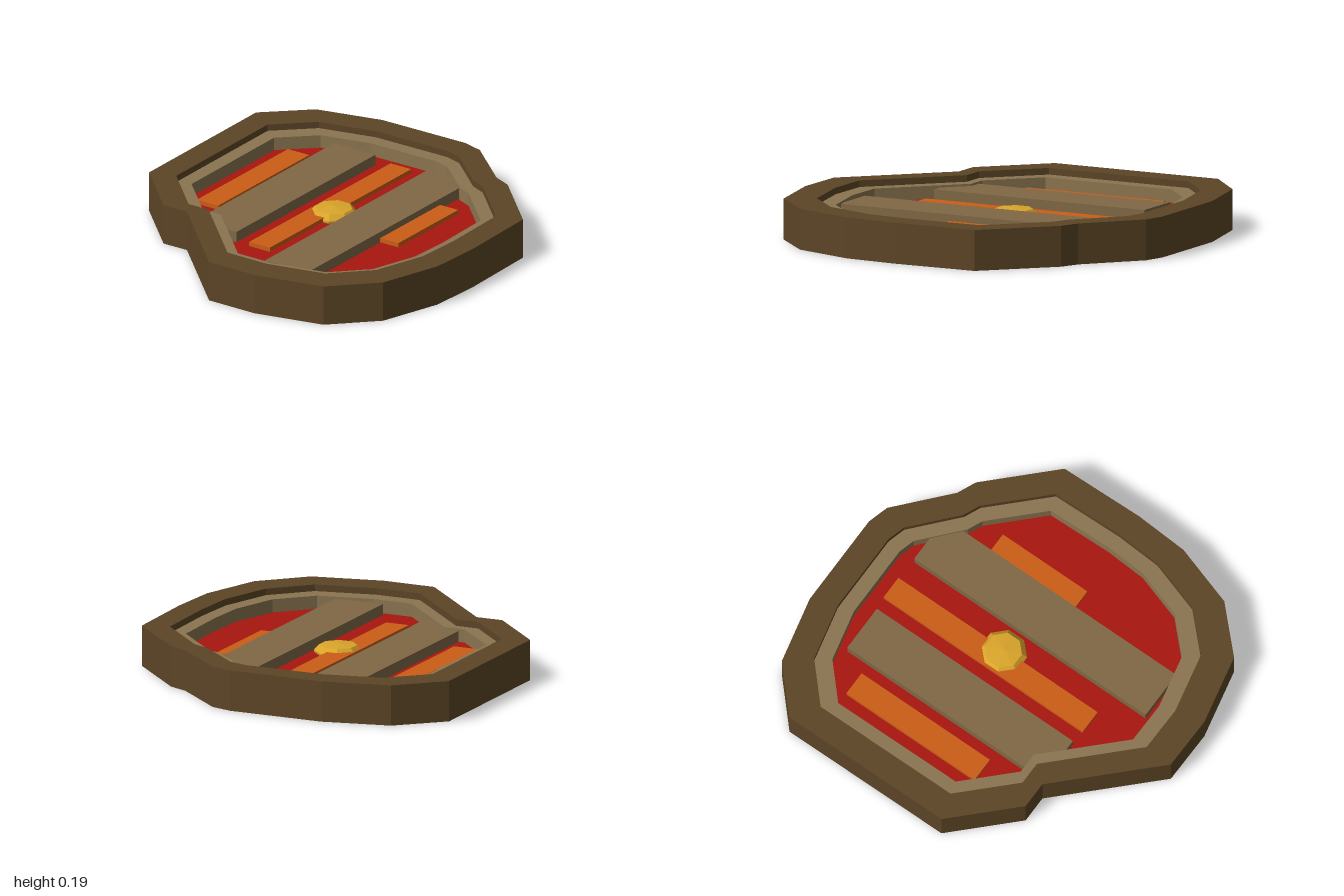
import * as THREE from 'three';

// Outline of the tray as [x, z]; the inner rings are scaled copies of it
const OUTLINE = [
  [-0.19, -1], [0.08, -0.99], [0.35, -0.82], [0.67, -0.5], [0.72, -0.41], [0.74, -0.09],
  [0.775, 0], [0.775, 0.4], [0.5, 0.69], [0.31, 0.86], [0.04, 1], [-0.23, 1],
  [-0.51, 0.82], [-0.685, 0.64], [-0.685, 0.06], [-0.775, -0.03], [-0.775, -0.41],
];
const MID = 0.855, INNER = 0.773;
const FLOOR_Y = 0.095;

const points = (s) => OUTLINE.map(([x, z]) => new THREE.Vector2(x * s, z * s));
const material = (color) => new THREE.MeshStandardMaterial({ color, flatShading: true });

function addMesh(parent, name, geometry, mat) {
  const mesh = new THREE.Mesh(geometry, mat);
  mesh.name = name;
  parent.add(mesh);
  return mesh;
}

// Slab standing on y = 0, optionally hollowed by a smaller copy of the outline
function slab(outer, inner, height) {
  const shape = new THREE.Shape(points(outer));
  if (inner) shape.holes.push(new THREE.Path(points(inner)));
  return new THREE.ExtrudeGeometry(shape, { depth: height, bevelEnabled: false })
    .rotateX(Math.PI / 2)
    .translate(0, height, 0);
}

// Diagonal bar: u = x - z runs along it, v = x + z runs across it
function diagonalBar(u0, u1, v0, v1, top) {
  const u = (u0 + u1) / 2, v = (v0 + v1) / 2, bottom = FLOOR_Y - 0.01;
  return new THREE.BoxGeometry((u1 - u0) / Math.SQRT2, top - bottom, (v1 - v0) / Math.SQRT2)
    .rotateY(Math.PI / 4)
    .translate((u + v) / 2, (top + bottom) / 2, (v - u) / 2);
}

export function createModel() {
  const model = new THREE.Group();
  model.name = 'tray';

  // Stepped rim and floor
  addMesh(model, 'outerRim', slab(1, MID, 0.185), material(0x5c4526));
  addMesh(model, 'innerRim', slab(MID, INNER, 0.155), material(0x8b7550));
  addMesh(model, 'floor', slab(INNER, null, FLOOR_Y), material(0xa8170f));

  // Two wide planks with their ends tucked under the rim
  const plankMat = material(0x806845);
  [[-0.72, 0.8, -0.58, -0.26], [-0.99, 0.805, 0.15, 0.48]].forEach((b, i) =>
    addMesh(model, `plank${i + 1}`, diagonalBar(...b, 0.145), plankMat));

  // Three thin strips between the planks
  const stripMat = material(0xcb5d17);
  [[-0.36, 0.635, -0.82, -0.655], [-0.725, 0.82, -0.16, 0], [-0.2, 0.455, 0.465, 0.62]].forEach((b, i) =>
    addMesh(model, `strip${i + 1}`, diagonalBar(...b, 0.115), stripMat));

  // Low faceted stud in the middle
  const profile = [[0.105, 0.08], [0.108, 0.105], [0.085, 0.13], [0, 0.138]]
    .map(([r, y]) => new THREE.Vector2(r, y));
  const stud = addMesh(model, 'stud', new THREE.LatheGeometry(profile, 8, Math.PI / 8), material(0xdaa52a));
  stud.position.set(-0.01, 0, -0.005);

  return model;
}
